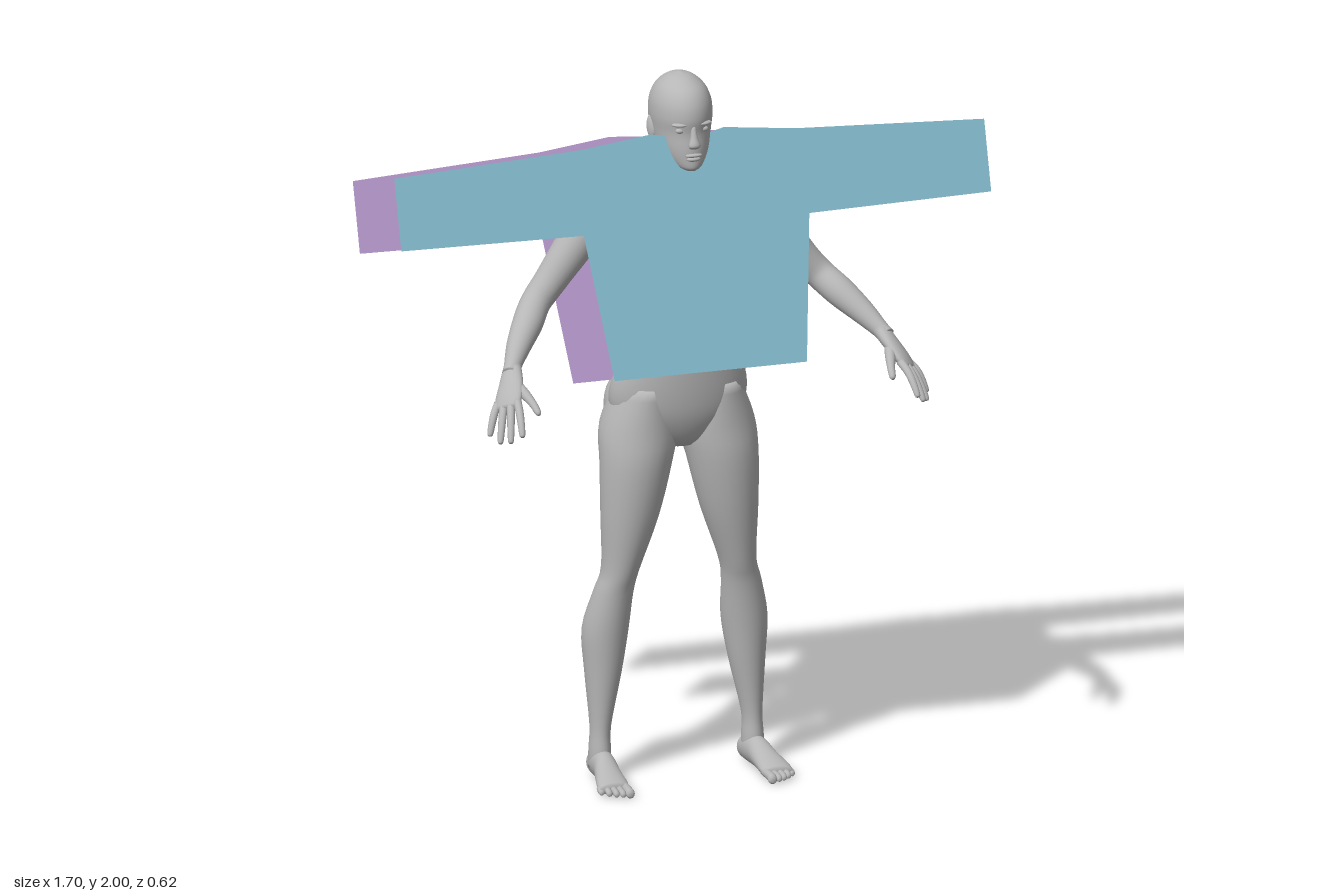
import * as THREE from 'three';

const V3 = (a) => new THREE.Vector3(a[0], a[1], a[2]);
const mat = (name, color, side = THREE.FrontSide) => {
  const m = new THREE.MeshStandardMaterial({ color, side });
  m.name = name;
  return m;
};

// Smooth closed loft through elliptical sections [x, y, z, a, b]; fixed axis and side direction are optional
function loft(rows, { axis = null, side = [1, 0, 0], steps = 4, seg = 24 } = {}) {
  const centre = new THREE.CatmullRomCurve3(rows.map(V3), false, 'catmullrom', 0.5);
  const radii = new THREE.CatmullRomCurve3(rows.map((r) => new THREE.Vector3(r[3], r[4], 0)), false, 'catmullrom', 0.5);
  const n = (rows.length - 1) * steps, pos = [], idx = [];
  for (let i = -1; i <= n + 1; i++) {
    const t = Math.min(1, Math.max(0, i / n)), cap = i < 0 || i > n ? 0 : 1;
    const c = centre.getPoint(t), r = radii.getPoint(t);
    const T = axis ? V3(axis) : centre.getTangent(t);
    const U = V3(side).addScaledVector(T, -V3(side).dot(T)).normalize();
    const V = T.clone().cross(U);
    for (let j = 0; j < seg; j++) {
      const q = (j / seg) * Math.PI * 2;
      const p = c.clone().addScaledVector(U, cap * r.x * Math.cos(q)).addScaledVector(V, cap * r.y * Math.sin(q));
      pos.push(p.x, p.y, p.z);
    }
  }
  for (let i = 0; i < n + 2; i++) {
    for (let j = 0; j < seg; j++) {
      const k = (j + 1) % seg, a = i * seg, b = a + seg;
      idx.push(a + j, a + k, b + k, a + j, b + k, b + j);
    }
  }
  const g = new THREE.BufferGeometry();
  g.setAttribute('position', new THREE.Float32BufferAttribute(pos, 3));
  g.setIndex(idx);
  g.computeVertexNormals();
  return g;
}

// Upright sections [y, halfWidth, zFront, zBack], listed from the bottom up
const upright = (rows) =>
  loft(rows.map(([y, w, f, b]) => [0, y, (f + b) / 2, w, (f - b) / 2]), { axis: [0, 1, 0], seg: 36, steps: 5 });

export function createModel() {
  const group = new THREE.Group();
  const skin = mat('body grey', 0xb6b6b6);
  const blue = mat('front panel blue', 0x86bfd2, THREE.DoubleSide);
  const purple = mat('back panel purple', 0xbb9bd0, THREE.DoubleSide);

  const add = (name, geometry, material = skin, parent = group) => {
    const m = new THREE.Mesh(geometry, material);
    m.name = name;
    parent.add(m);
    return m;
  };
  const blob = (name, p, r, parent) => {
    const m = add(name, new THREE.SphereGeometry(1, 24, 16), skin, parent);
    m.position.set(...p);
    m.scale.set(...r);
    return m;
  };

  // Torso and neck
  add('torso', upright([
    [0.94, 0.05, 0.0, -0.1], [0.97, 0.11, 0.03, -0.13], [1.03, 0.18, 0.055, -0.165], [1.1, 0.195, 0.066, -0.165],
    [1.2, 0.17, 0.07, -0.13], [1.3, 0.15, 0.068, -0.115], [1.4, 0.155, 0.07, -0.135], [1.48, 0.17, 0.065, -0.16],
    [1.55, 0.188, 0.035, -0.175], [1.61, 0.19, 0.008, -0.178], [1.65, 0.155, 0.0, -0.17], [1.685, 0.1, -0.002, -0.152],
    [1.72, 0.066, 0.0, -0.128], [1.76, 0.058, 0.01, -0.115], [1.81, 0.056, 0.01, -0.11]]));

  // Head
  const head = new THREE.Group();
  head.name = 'head';
  group.add(head);
  add('skull', upright([
    [1.745, 0.02, 0.076, 0.0], [1.755, 0.038, 0.085, -0.03], [1.78, 0.06, 0.086, -0.09], [1.81, 0.073, 0.086, -0.13],
    [1.85, 0.08, 0.083, -0.145], [1.89, 0.084, 0.088, -0.148], [1.93, 0.08, 0.081, -0.139], [1.965, 0.064, 0.058, -0.115],
    [1.99, 0.035, 0.015, -0.075], [2.0, 0.004, -0.025, -0.035]]), skin, head);
  add('nose', loft([[0, 1.875, 0.078, 0.007, 0.008], [0, 1.845, 0.086, 0.01, 0.011], [0, 1.822, 0.091, 0.017, 0.014],
    [0, 1.812, 0.086, 0.012, 0.008]], { axis: [0, -1, 0], seg: 16 }), skin, head);
  blob('upper lip', [0, 1.792, 0.083], [0.024, 0.006, 0.01], head);
  blob('lower lip', [0, 1.781, 0.081], [0.02, 0.007, 0.011], head);
  for (const s of [1, -1]) {
    blob('eye', [s * 0.034, 1.861, 0.068], [0.013, 0.008, 0.01], head);
    blob('brow', [s * 0.036, 1.878, 0.07], [0.022, 0.006, 0.013], head).rotation.y = s * 0.4;
    const ear = blob('ear', [s * 0.08, 1.848, -0.038], [0.01, 0.032, 0.018], head);
    ear.rotation.set(-0.2, -s * 0.35, 0);
  }

  for (const s of [1, -1]) {
    const label = s > 0 ? 'left' : 'right';
    const flip = (rows) => rows.map(([x, ...rest]) => [s * x, ...rest]);

    // Chest and buttock volumes
    blob(label + ' breast', [s * 0.08, 1.465, 0.035], [0.068, 0.06, 0.054]);
    blob(label + ' buttock', [s * 0.098, 1.045, -0.105], [0.092, 0.105, 0.095]);

    // Leg
    add(label + ' leg', loft(flip([
      [0.1, 1.12, -0.05, 0.07, 0.1], [0.11, 1.0, -0.06, 0.107, 0.115], [0.124, 0.9, -0.04, 0.1, 0.1],
      [0.143, 0.75, -0.037, 0.08, 0.083], [0.168, 0.6, -0.043, 0.052, 0.062], [0.184, 0.53, -0.055, 0.055, 0.058],
      [0.2, 0.42, -0.077, 0.064, 0.068], [0.207, 0.3, -0.075, 0.051, 0.056], [0.218, 0.15, -0.066, 0.029, 0.037],
      [0.22, 0.08, -0.064, 0.03, 0.04], [0.22, 0.03, -0.066, 0.03, 0.044]]), { axis: [0, -1, 0] }));

    // Foot with five toes
    add(label + ' foot', loft(flip([
      [0.216, 0.03, -0.12, 0.012, 0.018], [0.217, 0.035, -0.105, 0.028, 0.033], [0.219, 0.042, -0.06, 0.032, 0.041],
      [0.222, 0.042, -0.015, 0.033, 0.041], [0.228, 0.032, 0.03, 0.038, 0.031], [0.234, 0.023, 0.08, 0.044, 0.022],
      [0.236, 0.017, 0.11, 0.042, 0.014]]), { axis: [0, 0, 1] }));
    for (let i = 0; i < 5; i++) {
      const x = 0.205 + i * 0.0165 + (i ? 0.003 : 0), r = i ? 0.0085 : 0.0125, z = 0.155 - i * i * 0.0025;
      add(label + ' toe', loft(flip([[x - 0.002, 0.018, 0.085, r, r], [x, 0.016, z - 0.02, r, r],
        [x, 0.012, z - 0.006, r, r], [x, 0.01, z, r * 0.5, r * 0.5]]), { axis: [0, 0, 1], seg: 12 }));
    }

    // Arm
    add(label + ' arm', loft(flip([
      [0.13, 1.61, -0.09, 0.04, 0.045], [0.19, 1.605, -0.085, 0.06, 0.064], [0.245, 1.575, -0.08, 0.06, 0.062],
      [0.31, 1.495, -0.072, 0.052, 0.052], [0.365, 1.425, -0.065, 0.045, 0.045], [0.41, 1.375, -0.05, 0.042, 0.042],
      [0.45, 1.335, 0.0, 0.042, 0.042], [0.495, 1.29, 0.055, 0.034, 0.034], [0.53, 1.25, 0.105, 0.024, 0.025],
      [0.542, 1.235, 0.125, 0.024, 0.024]])));

    // Hand: flattened palm, four fingers and a thumb
    const across = [s * 0.04, -0.015, -0.055];
    add(label + ' palm', loft(flip([
      [0.53, 1.25, 0.105, 0.025, 0.022], [0.55, 1.215, 0.15, 0.037, 0.02], [0.568, 1.185, 0.183, 0.042, 0.017],
      [0.58, 1.163, 0.205, 0.036, 0.011]]), { side: across }));
    const tips = [[0.57, 1.11, 0.305], [0.595, 1.088, 0.28], [0.615, 1.08, 0.25], [0.63, 1.09, 0.205]];
    tips.forEach((tip, i) => {
      const k = i / 3, base = [0.555 + 0.042 * k, 1.18 - 0.018 * k, 0.222 - 0.052 * k];
      const at = (t, r) => [...base.map((v, c) => v + (tip[c] - v) * t + (c === 1 ? 0.012 * Math.sin(Math.PI * t) : 0)), r, r];
      add(label + ' finger', loft(flip([at(-0.15, 0.012), at(0.35, 0.011), at(0.7, 0.01), at(0.95, 0.008), at(1, 0.004)]),
        { side: across, seg: 12 }));
    });
    add(label + ' thumb', loft(flip([[0.543, 1.22, 0.15, 0.017, 0.017], [0.528, 1.2, 0.195, 0.015, 0.015],
      [0.516, 1.18, 0.235, 0.011, 0.011], [0.511, 1.163, 0.262, 0.009, 0.009], [0.51, 1.158, 0.27, 0.004, 0.004]]),
      { side: across, seg: 12 }));
  }

  // Flat garment panels, leaning forward toward the hem
  const panel = (name, material, drop, z, neck) => {
    const half = [[0.105, 1.847], [0.31, 1.825], [0.85, 1.8], [0.85, 1.61], [0.325, 1.602], [0.277, 1.218]];
    const points = [[0, neck], ...half, ...half.map(([x, y]) => [-x, y]).reverse()];
    const g = new THREE.ShapeGeometry(new THREE.Shape(points.map(([x, y]) => new THREE.Vector2(x, y))));
    const p = g.attributes.position;
    for (let i = 0; i < p.count; i++) {
      const y = p.getY(i);
      p.setXYZ(i, p.getX(i), y - drop, z - 0.31 * (y - 1.8));
    }
    g.computeVertexNormals();
    add(name, g, material);
  };
  panel('front garment panel', blue, 0, 0.045, 1.825);
  panel('back garment panel', purple, 0.107, -0.3, 1.838);

  return group;
}
